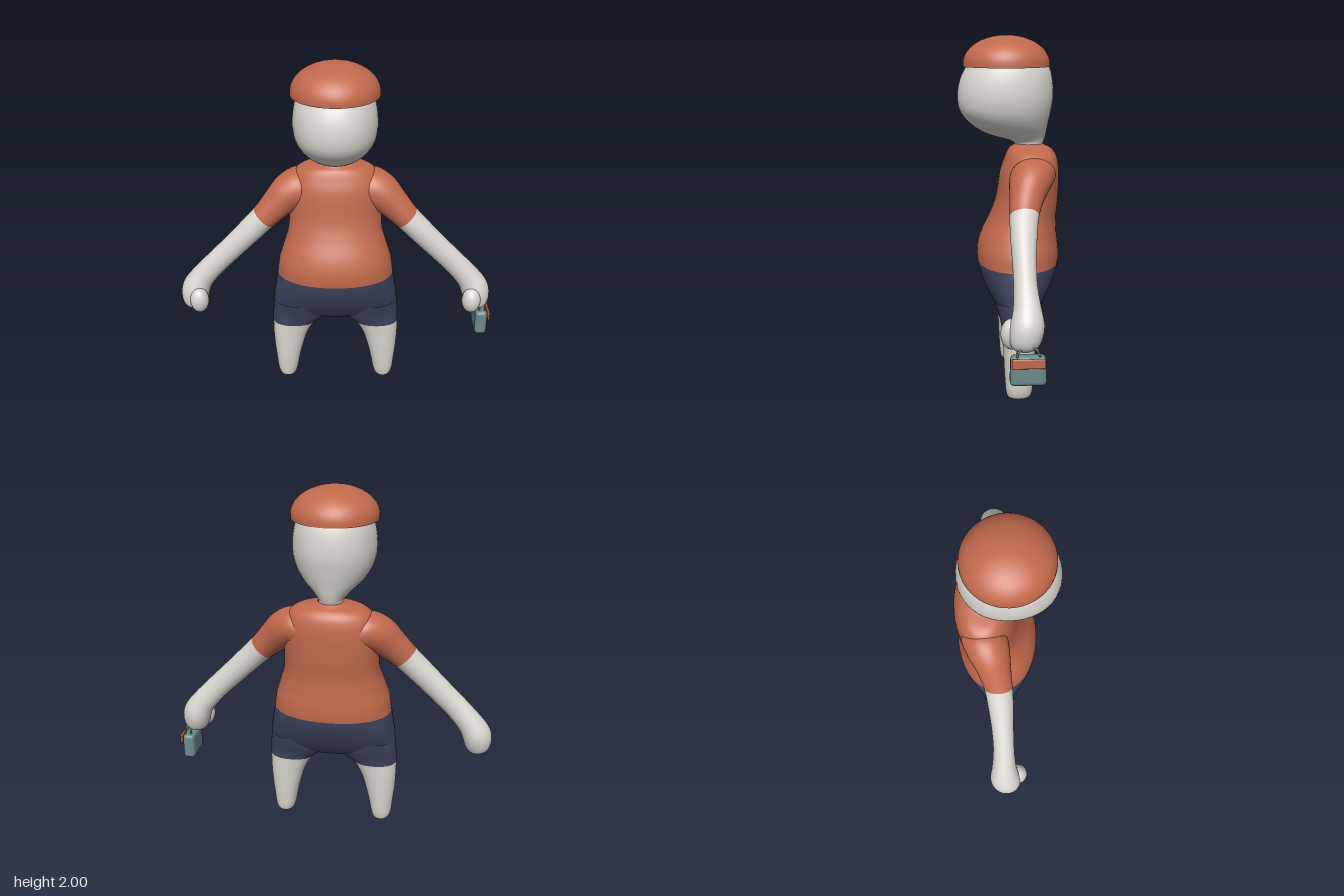
import * as THREE from 'three';
import { RoundedBoxGeometry } from 'three/addons/geometries/RoundedBoxGeometry.js';

const mat = (name, color) => {
  const m = new THREE.MeshStandardMaterial({ color });
  m.name = name;
  return m;
};

// Smooth interpolation between four neighbouring ring values
const spline = (a, b, c, d, t) =>
  0.5 * (2 * b + (c - a) * t + (2 * a - 5 * b + 4 * c - d) * t * t + (3 * b - a - 3 * c + d) * t * t * t);

// Smooth skin over rings [x, y, z, ru, rz, tilt in degrees], listed from top to bottom.
// The material changes from the first to the second at ring number `split`.
function loft(rings, { side = 1, power = 2, split = 0, segs = 48, steps = 5 } = {}) {
  const rows = (rings.length - 1) * steps, pos = [], idx = [];
  for (let r = 0; r <= rows; r++) {
    const k = Math.min(Math.floor(r / steps), rings.length - 2), t = r / steps - k;
    const at = (i) => rings[Math.max(0, Math.min(rings.length - 1, i))];
    const [x, y, z, ru, rz, tilt] = rings[0].map((_, i) => spline(at(k - 1)[i], at(k)[i], at(k + 1)[i], at(k + 2)[i], t));
    const a = THREE.MathUtils.degToRad(tilt);
    for (let s = 0; s < segs; s++) {
      const th = (s / segs) * Math.PI * 2, c = Math.cos(th), sn = Math.sin(th);
      const u = Math.sign(c) * Math.abs(c) ** (2 / power) * Math.max(ru, 0.001);
      const v = Math.sign(sn) * Math.abs(sn) ** (2 / power) * Math.max(rz, 0.001);
      pos.push(side * (x + u * Math.cos(a)), y + u * Math.sin(a), z + v);
    }
  }
  for (let r = 0; r < rows; r++) {
    for (let s = 0; s < segs; s++) {
      const a = r * segs + s, b = r * segs + (s + 1) % segs, c = a + segs, d = b + segs;
      if (side > 0) idx.push(a, b, c, b, d, c);
      else idx.push(a, c, b, b, c, d);
    }
  }
  const g = new THREE.BufferGeometry();
  g.setAttribute('position', new THREE.Float32BufferAttribute(pos, 3));
  g.setIndex(idx);
  g.computeVertexNormals();
  if (split) {
    const cut = split * steps * segs * 6;
    g.addGroup(0, cut, 0);
    g.addGroup(cut, idx.length - cut, 1);
  }
  return g;
}

// Level ring given by its extents: y, min x, max x, min z, max z
const level = ([y, x0, x1, z0, z1]) => [(x0 + x1) / 2, y, (z0 + z1) / 2, (x1 - x0) / 2, (z1 - z0) / 2, 0];
const centred = ([y, w, z0, z1]) => level([y, -w, w, z0, z1]);

export function createModel() {
  const model = new THREE.Group();
  const skin = mat('skin', 0xd9d6d0), cloth = mat('orange cloth', 0xc26a4c);
  const navy = mat('navy cloth', 0x3f4460), teal = mat('teal bag', 0x6b8a8a);
  const add = (name, geo, material, parent = model) => {
    const m = new THREE.Mesh(geo, material);
    m.name = name;
    parent.add(m);
    return m;
  };

  // Head, narrowing into the neck
  add('head', loft([
    [1.95, 0.001, 0, 0.02], [1.93, 0.1, -0.1, 0.12], [1.89, 0.17, -0.18, 0.195], [1.83, 0.203, -0.222, 0.238],
    [1.75, 0.224, -0.242, 0.274], [1.66, 0.229, -0.245, 0.286], [1.58, 0.213, -0.232, 0.268],
    [1.51, 0.17, -0.217, 0.205], [1.46, 0.115, -0.207, 0.12], [1.425, 0.076, -0.198, 0],
    [1.4, 0.068, -0.19, -0.035], [1.35, 0.068, -0.19, -0.035],
  ].map(centred), { power: 2.1 }), skin);

  // Domed cap with a flat underside
  const dome = [[0, 1.835], [0.2, 1.835], [0.24, 1.83]].map((p) => new THREE.Vector2(...p));
  dome.push(new THREE.Vector2(0.24, 1.83));
  for (let i = 0; i <= 16; i++) {
    const a = (i / 16) * Math.PI / 2;
    dome.push(new THREE.Vector2(0.24 * Math.cos(a), 1.845 + 0.155 * Math.sin(a)));
  }
  add('cap', new THREE.LatheGeometry(dome, 48), cloth).position.z = 0.014;

  // Torso: shirt above, shorts below
  add('torso', loft([
    [1.405, 0.07, -0.19, -0.035], [1.392, 0.11, -0.21, -0.02], [1.375, 0.185, -0.24, 0], [1.335, 0.235, -0.267, 0.02],
    [1.25, 0.265, -0.28, 0.05], [1.1, 0.265, -0.276, 0.075], [1.0, 0.272, -0.267, 0.11], [0.9, 0.302, -0.27, 0.158],
    [0.82, 0.327, -0.279, 0.182], [0.74, 0.338, -0.278, 0.182], [0.66, 0.352, -0.258, 0.163],
    [0.58, 0.363, -0.22, 0.13], [0.51, 0.36, -0.175, 0.088], [0.47, 0.28, -0.14, 0.055],
    [0.447, 0.13, -0.1, 0.01], [0.444, 0.001, -0.045, -0.04],
  ].map(centred), { power: 2.15, split: 9 }), [cloth, navy]);

  for (const side of [1, -1]) {
    const label = side > 0 ? 'left' : 'right';

    // Leg: shorts above the hem, bare below
    add(label + 'Leg', loft([
      [0.56, 0.03, 0.362, -0.18, 0.1], [0.5, 0.015, 0.37, -0.165, 0.08], [0.45, 0.05, 0.374, -0.147, 0.065],
      [0.4, 0.115, 0.375, -0.135, 0.055], [0.32, 0.165, 0.375, -0.13, 0.05], [0.22, 0.197, 0.37, -0.125, 0.046],
      [0.12, 0.22, 0.36, -0.118, 0.041], [0.05, 0.233, 0.352, -0.112, 0.035],
      [0.015, 0.25, 0.335, -0.095, 0.02], [0, 0.291, 0.293, -0.041, -0.039],
    ].map(level), { side, power: 2.2, split: 3 }), [navy, skin]);

    // Arm: short sleeve, forearm and rounded fist
    add(label + 'Arm', loft([
      [0.1, 1.25, -0.125, 0.09, 0.1, 70], [0.18, 1.25, -0.12, 0.115, 0.125, 62], [0.262, 1.215, -0.1, 0.108, 0.115, 50],
      [0.335, 1.15, -0.075, 0.09, 0.093, 45], [0.41, 1.075, -0.055, 0.076, 0.078, 45],
      [0.5, 0.985, -0.045, 0.072, 0.07, 45], [0.6, 0.885, -0.04, 0.069, 0.062, 45], [0.7, 0.785, -0.038, 0.068, 0.06, 44],
      [0.78, 0.695, -0.04, 0.072, 0.07, 38], [0.823, 0.625, -0.037, 0.082, 0.085, 25],
      [0.838, 0.565, -0.03, 0.078, 0.082, 15], [0.842, 0.515, -0.025, 0.055, 0.06, 8], [0.842, 0.49, -0.025, 0.001, 0.001, 5],
    ], { side, split: 4, segs: 40 }), [cloth, skin]);

    // Thumb pressed against the front of the fist
    const thumb = add(label + 'Thumb', new THREE.SphereGeometry(1, 24, 16), skin);
    thumb.scale.set(0.055, 0.078, 0.055);
    thumb.position.set(side * 0.8, 0.575, 0.038);
  }

  // Small bag hanging from the left hand
  const bag = new THREE.Group();
  bag.name = 'bag';
  bag.position.set(0.87, 0.415, -0.038);
  model.add(bag);
  const body = new RoundedBoxGeometry(0.07, 0.15, 0.18, 4, 0.022);
  const p = body.attributes.position;
  for (let i = 0; i < p.count; i++) p.setZ(i, p.getZ(i) * (1 - 0.7 * Math.max(0, p.getY(i))));
  add('bagBody', body, teal, bag);
  add('bagFlap', new RoundedBoxGeometry(0.012, 0.05, 0.165, 3, 0.006), cloth, bag).position.set(0.044, 0.047, 0);
  add('flapHinge', new RoundedBoxGeometry(0.02, 0.012, 0.12, 2, 0.005), cloth, bag).position.set(0.034, 0.055, 0);
  for (const x of [-0.012, 0.022]) {
    const handle = add('bagHandle', new THREE.TorusGeometry(0.055, 0.005, 8, 24, Math.PI), teal, bag);
    handle.rotation.y = Math.PI / 2;
    handle.position.set(x, 0.07, 0);
  }
  return model;
}
